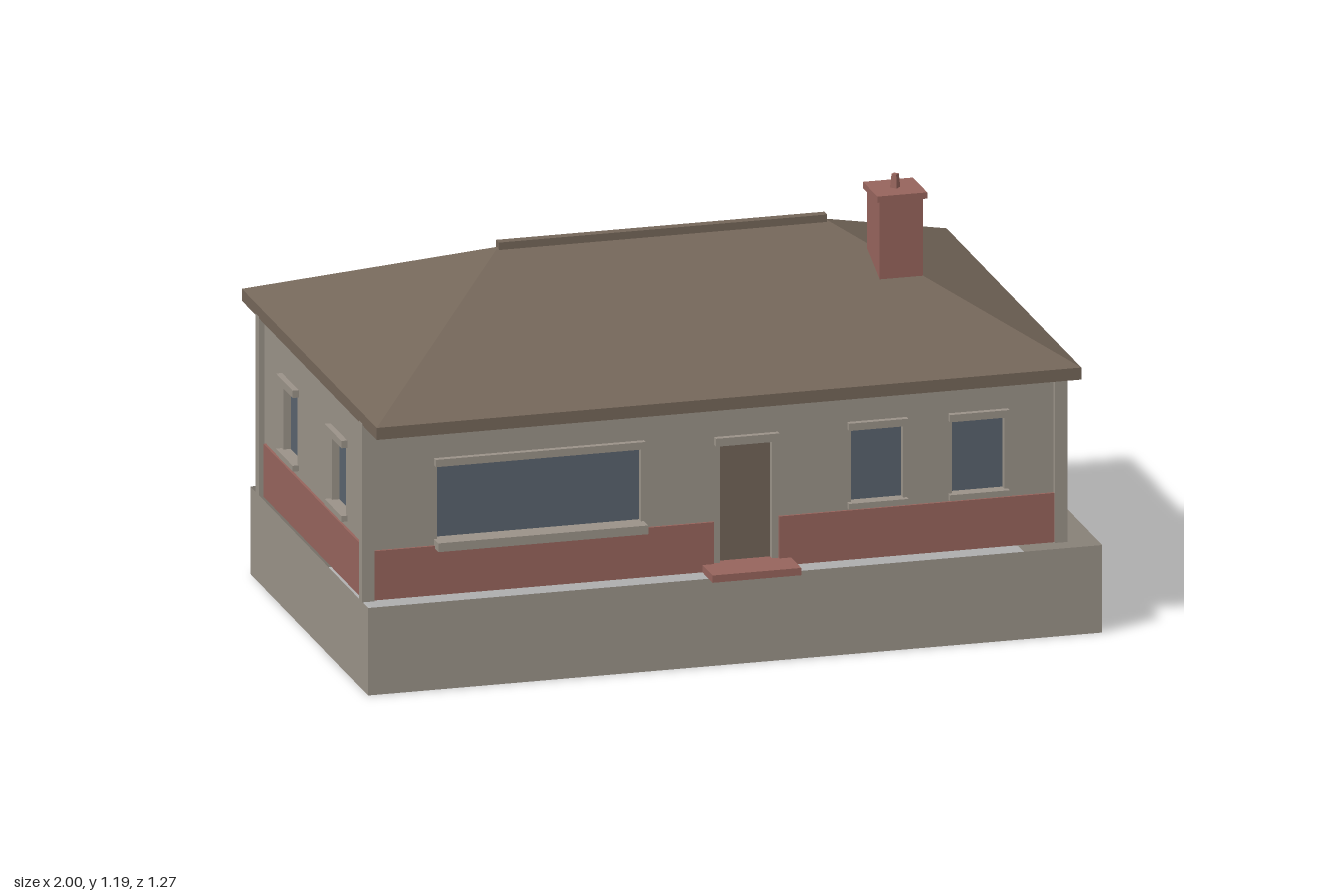
import * as THREE from 'three';
import { ConvexGeometry } from 'three/addons/geometries/ConvexGeometry.js';

const material = (name, color, side = THREE.FrontSide) => {
  const m = new THREE.MeshStandardMaterial({ color, side });
  m.name = name;
  return m;
};

export function createModel() {
  const stone = material('stone', 0x9a9288, THREE.DoubleSide);
  const brick = material('brick', 0x96645c);
  const roofBrown = material('roof brown', 0x746659);
  const doorBrown = material('door brown', 0x716458);
  const glass = material('glass', 0x59636d);

  const model = new THREE.Group();
  model.name = 'bungalow';

  const add = (parent, name, geometry, mat) => {
    const mesh = new THREE.Mesh(geometry, mat);
    mesh.name = name;
    parent.add(mesh);
    return mesh;
  };
  // box given by its limits on each axis
  const box = (parent, name, mat, x0, x1, y0, y1, z0, z1) => {
    const mesh = add(parent, name, new THREE.BoxGeometry(x1 - x0, y1 - y0, z1 - z0), mat);
    mesh.position.set((x0 + x1) / 2, (y0 + y1) / 2, (z0 + z1) / 2);
    return mesh;
  };

  // open foundation skirt
  const BASE = 0.24;
  for (let i = 0; i < 4; i++) {
    const [width, dist] = i % 2 ? [1.112, 1] : [2, 0.556];
    const side = new THREE.Group();
    side.name = 'foundationSide';
    side.rotation.y = i * Math.PI / 2;
    add(side, 'foundationPanel', new THREE.PlaneGeometry(width, BASE), stone).position.set(0, BASE / 2, dist);
    model.add(side);
  }

  // the house sits a little off the centre of its foundation
  const house = new THREE.Group();
  house.name = 'house';
  house.position.x = -0.04;
  model.add(house);

  const THICK = 0.03, EAVE = 0.727;
  const rect = (path, x0, x1, y0, y1) => {
    path.moveTo(x0, y0);
    path.lineTo(x1, y0);
    path.lineTo(x1, y1);
    path.lineTo(x0, y1);
    path.closePath();
    return path;
  };

  // one wall with recessed windows, an optional door and a brick dado
  function wall(name, angle, half, dist, brickTop, windows, door) {
    const g = new THREE.Group();
    g.name = name;
    g.rotation.y = angle;
    house.add(g);

    const shape = new THREE.Shape();
    if (door) {
      const outline = [[-half, BASE], [door.x0, BASE], [door.x0, door.y1], [door.x1, door.y1],
        [door.x1, BASE], [half, BASE], [half, EAVE], [-half, EAVE]];
      shape.setFromPoints(outline.map(([x, y]) => new THREE.Vector2(x, y)));
    } else rect(shape, -half, half, BASE, EAVE);
    for (const w of windows) shape.holes.push(rect(new THREE.Path(), w.x0, w.x1, w.y0, w.y1));
    const geo = new THREE.ExtrudeGeometry(shape, { depth: THICK, bevelEnabled: false });
    add(g, 'wallPanel', geo, stone).position.z = dist - THICK;

    for (const w of windows) {
      box(g, 'windowGlass', glass, w.x0, w.x1, w.y0, w.y1, dist - THICK + 0.002, dist - THICK + 0.01);
      const m = w.trim ?? 0.013;
      box(g, 'windowLintel', stone, w.x0 - m, w.x1 + m, w.y1, w.y1 + 0.02, dist - 0.01, dist + 0.0165);
      box(g, 'windowSill', stone, w.x0 - m, w.x1 + m, w.y0 - (w.sillHeight ?? 0.016), w.y0,
        dist - 0.01, dist + (w.sillDepth ?? 0.0165));
    }

    // brick outside, brown lining inside, both split at the door
    const spans = door ? [[-half, door.x0 - 0.018], [door.x1 + 0.018, half]] : [[-half, half]];
    for (const [a, b] of spans) {
      box(g, 'brickDado', brick, a, b, BASE, brickTop, dist, dist + 0.007);
      box(g, 'innerLining', doorBrown, a, b, BASE, brickTop, dist - THICK - 0.006, dist - THICK);
    }

    if (door) {
      box(g, 'door', doorBrown, door.x0, door.x1, BASE, door.y1, dist - THICK + 0.002, dist - THICK + 0.012);
      box(g, 'doorLintel', stone, door.x0 - 0.016, door.x1 + 0.016, door.y1, door.y1 + 0.022,
        dist - 0.01, dist + 0.0165);
      box(g, 'doorStep', brick, door.x0 - 0.05, door.x1 + 0.05, BASE, 0.26, dist - 0.02, 0.593);
    }
  }

  const smallWindow = c => ({ x0: c - 0.066, x1: c + 0.066, y0: 0.418, y1: 0.604 });
  const frontWindows = [
    { x0: -0.753, x1: -0.197, y0: 0.392, y1: 0.594, trim: 0.008, sillHeight: 0.024, sillDepth: 0.04 },
    { x0: 0.375, x1: 0.517, y0: 0.396, y1: 0.596, trim: 0.01 },
    { x0: 0.65, x1: 0.793, y0: 0.396, y1: 0.596, trim: 0.01 },
  ];
  wall('frontWall', 0, 0.945, 0.49, 0.375, frontWindows, { x0: 0.018, x1: 0.16, y1: 0.584 });
  wall('backWall', Math.PI, 0.945, 0.49, 0.385, [-0.585, 0, 0.58].map(smallWindow));
  for (const s of [1, -1]) {
    wall(s > 0 ? 'leftWall' : 'rightWall', s * Math.PI / 2, 0.46, 0.945, 0.385, [-0.23, 0.23].map(smallWindow));
  }

  // corner posts
  for (const sx of [1, -1]) for (const sz of [1, -1]) {
    const post = add(house, 'cornerPost', new THREE.BoxGeometry(0.034, EAVE + 0.003 - BASE, 0.031), stone);
    post.position.set(sx * 0.944, (EAVE + 0.003 + BASE) / 2, sz * 0.489);
  }

  // hipped roof: two eave rectangles and the ridge line
  const points = [];
  for (const sx of [1, -1]) {
    for (const sz of [1, -1]) for (const y of [0.725, 0.758]) {
      points.push(new THREE.Vector3(sx * 0.96, y, sz * 0.637));
    }
    points.push(new THREE.Vector3(sx * 0.445, 1.02, 0));
  }
  add(house, 'hippedRoof', new ConvexGeometry(points), roofBrown);
  box(house, 'ridgeCap', roofBrown, -0.447, 0.447, 1.005, 1.035, -0.013, 0.013);

  // chimney with cap and small flue
  const chimney = new THREE.Group();
  chimney.name = 'chimney';
  chimney.position.set(0.583, 0, 0.185);
  house.add(chimney);
  box(chimney, 'chimneyStack', brick, -0.059, 0.059, 0.86, 1.133, -0.059, 0.059);
  box(chimney, 'chimneyCap', brick, -0.068, 0.068, 1.133, 1.15, -0.068, 0.068);
  const flue = new THREE.CylinderGeometry(0.01, 0.014, 0.037, 4).toNonIndexed();
  flue.computeVertexNormals();
  add(chimney, 'chimneyFlue', flue, brick).position.y = 1.1685;

  return model;
}
